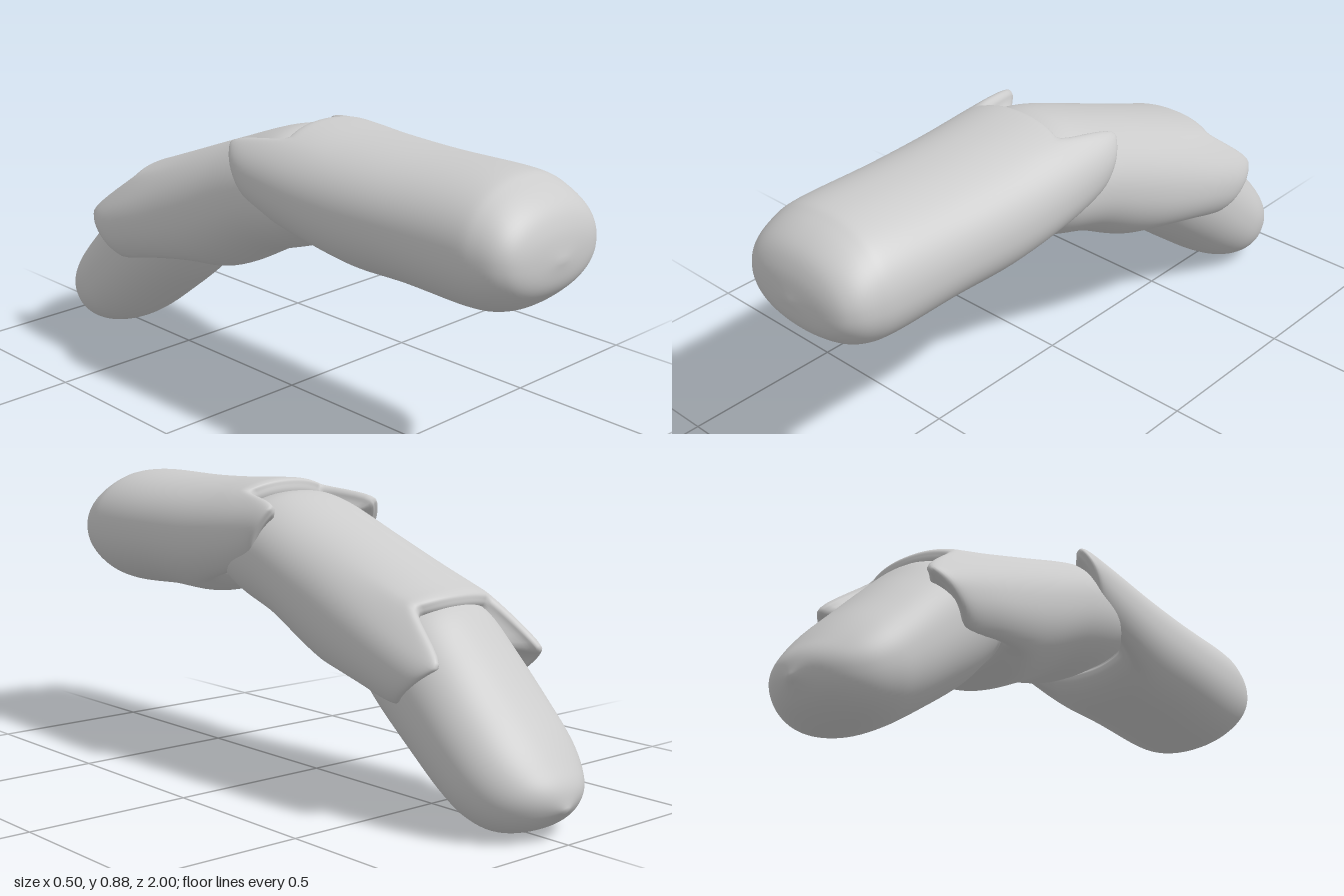
import * as THREE from 'three';
import { mergeVertices } from 'three/addons/utils/BufferGeometryUtils.js';

const material = new THREE.MeshStandardMaterial({ color: 0xcccccc });

const rounded = (v) => Math.sign(v) * Math.pow(Math.abs(v), 0.92);

// Lofts oval rings. Station: [halfWidth, topZ, topY, bottomZ, bottomY, cheek],
// where cheek pushes both sides of the ring along cheekDir.
function segment(name, stations, cheekDir = [0, 0]) {
  const tops = stations.map(([w, z, y]) => new THREE.Vector3(w, y, z));
  const bottoms = stations.map((s) => new THREE.Vector3(s[5] || 0, s[4], s[3]));
  const topCurve = new THREE.CatmullRomCurve3(tops, false, 'catmullrom', 0.5);
  const bottomCurve = new THREE.CatmullRomCurve3(bottoms, false, 'catmullrom', 0.5);
  const rings = (stations.length - 1) * 6, sides = 96;
  const positions = [], index = [];
  for (let i = 0; i <= rings; i++) {
    const top = topCurve.getPoint(i / rings), bottom = bottomCurve.getPoint(i / rings);
    for (let j = 0; j < sides; j++) {
      const a = (j / sides) * Math.PI * 2;
      const s = rounded(Math.sin(a)), c = rounded(Math.cos(a));
      const push = bottom.x * THREE.MathUtils.smoothstep(Math.abs(Math.sin(a)), 0.56, 0.88);
      positions.push(
        top.x * s,
        (top.y + bottom.y) / 2 + c * (top.y - bottom.y) / 2 + push * cheekDir[1],
        (top.z + bottom.z) / 2 + c * (top.z - bottom.z) / 2 + push * cheekDir[0]
      );
      if (i < rings) {
        const k = (j + 1) % sides, p = i * sides, q = p + sides;
        index.push(p + j, p + k, q + j, p + k, q + k, q + j);
      }
    }
  }
  let geometry = new THREE.BufferGeometry();
  geometry.setAttribute('position', new THREE.Float32BufferAttribute(positions, 3));
  geometry.setIndex(index);
  geometry = mergeVertices(geometry, 1e-5);
  geometry.computeVertexNormals();
  const mesh = new THREE.Mesh(geometry, material);
  mesh.name = name;
  return mesh;
}

export function createModel() {
  const group = new THREE.Group();
  group.name = 'jointedFinger';

  // Front segment: blunt tip, rear lip with two cheeks around the joint
  group.add(segment('frontSegment', [
    [0, 1, 0.67, 1, 0.67, 0],
    [0.14, 0.985, 0.75, 0.985, 0.6, 0],
    [0.2, 0.95, 0.81, 0.95, 0.555, 0],
    [0.227, 0.88, 0.855, 0.89, 0.515, 0],
    [0.236, 0.8, 0.872, 0.8, 0.5, 0],
    [0.241, 0.55, 0.868, 0.6, 0.508, 0],
    [0.248, 0.35, 0.872, 0.42, 0.507, 0.03],
    [0.252, 0.2, 0.88, 0.335, 0.53, 0.12],
    [0.247, 0.14, 0.88, 0.29, 0.56, 0.19],
    [0.225, 0.125, 0.865, 0.28, 0.58, 0.2],
    [0.19, 0.13, 0.82, 0.28, 0.61, 0.17],
    [0, 0.22, 0.72, 0.22, 0.72, 0],
  ], [-1, 0.06]));

  // Middle segment: starts inside the front one, same cheeked lip at its rear
  group.add(segment('middleSegment', [
    [0, 0.3, 0.68, 0.3, 0.68, 0],
    [0.15, 0.27, 0.77, 0.28, 0.6, 0],
    [0.21, 0.2, 0.81, 0.23, 0.56, 0],
    [0.232, 0.1, 0.845, 0.15, 0.51, 0],
    [0.236, 0, 0.835, 0, 0.455, 0],
    [0.239, -0.2, 0.762, -0.15, 0.375, 0],
    [0.246, -0.4, 0.685, -0.22, 0.352, 0.03],
    [0.252, -0.53, 0.635, -0.29, 0.36, 0.12],
    [0.247, -0.58, 0.615, -0.32, 0.375, 0.2],
    [0.225, -0.595, 0.595, -0.33, 0.39, 0.21],
    [0.19, -0.58, 0.56, -0.33, 0.42, 0.17],
    [0, -0.47, 0.48, -0.47, 0.48, 0],
  ], [-0.87, -0.48]));

  // Rear segment: narrower, slopes down to a rounded end
  group.add(segment('rearSegment', [
    [0, -0.4, 0.45, -0.4, 0.45],
    [0.16, -0.45, 0.55, -0.32, 0.37],
    [0.195, -0.52, 0.59, -0.34, 0.335],
    [0.206, -0.6, 0.575, -0.42, 0.25],
    [0.21, -0.7, 0.48, -0.56, 0.14],
    [0.21, -0.8, 0.375, -0.67, 0.06],
    [0.2, -0.89, 0.28, -0.75, 0.017],
    [0.165, -0.95, 0.205, -0.83, 0.002],
    [0.1, -0.985, 0.15, -0.92, 0.03],
    [0, -0.995, 0.09, -0.995, 0.09],
  ]));

  return group;
}
